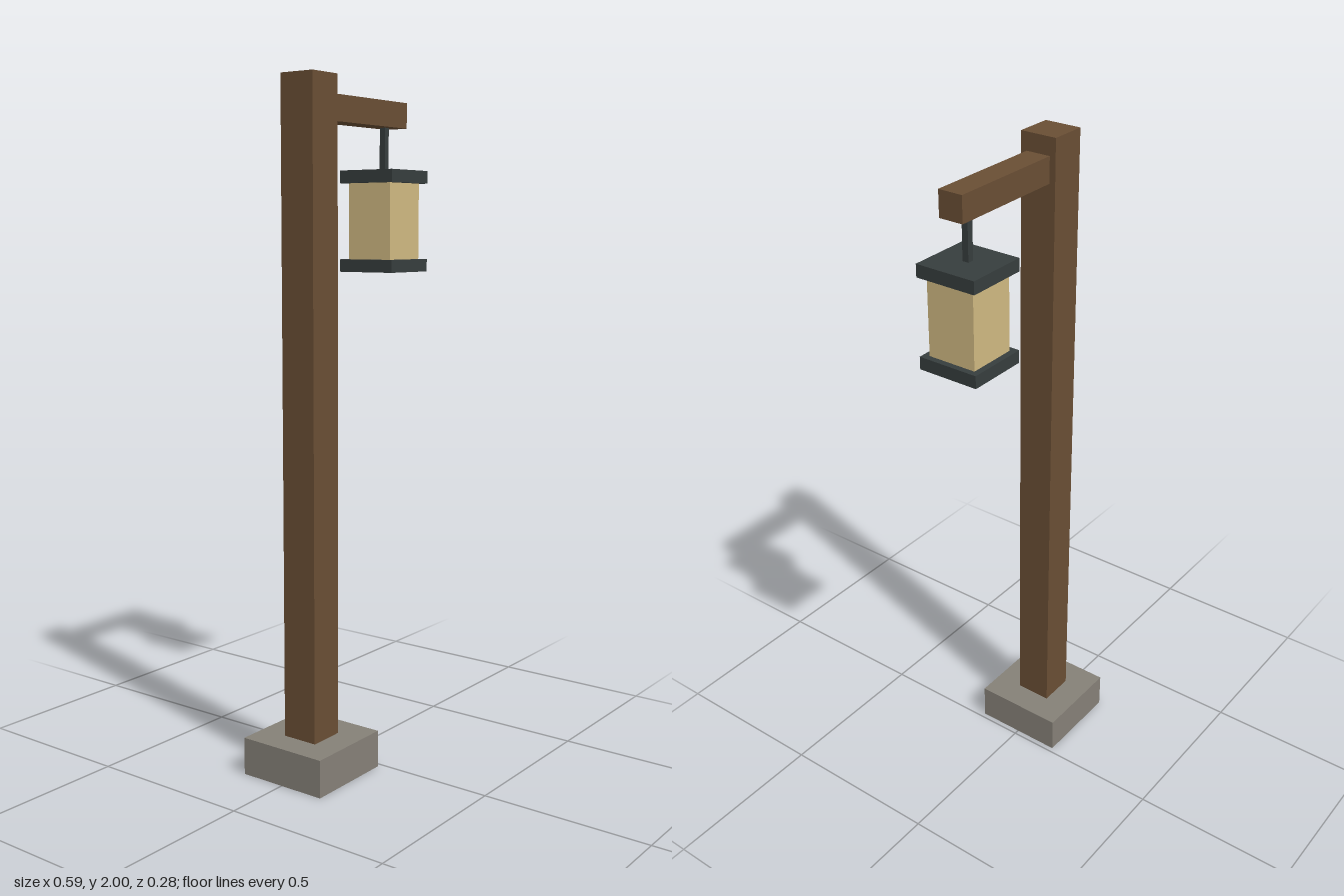
import * as THREE from 'three';

export function createModel() {
  const group = new THREE.Group();
  const material = (name, color) => {
    const m = new THREE.MeshStandardMaterial({ color });
    m.name = name;
    return m;
  };
  const wood = material('brown wood', 0x694e34);
  const stone = material('grey stone', 0x858077);
  const iron = material('dark iron', 0x363d3d);
  const glass = material('warm glass', 0xcfb881);

  // Square-section block from x0 to x1 and y0 to y1, centred on z = 0
  const block = (name, mat, x0, x1, y0, y1, depth) => {
    const mesh = new THREE.Mesh(new THREE.BoxGeometry(x1 - x0, y1 - y0, depth), mat);
    mesh.position.set((x0 + x1) / 2, (y0 + y1) / 2, 0);
    mesh.name = name;
    group.add(mesh);
  };

  // Footing, post and arm
  block('base', stone, -0.295, -0.016, 0, 0.111, 0.28);
  block('post', wood, -0.211, -0.1, 0.111, 2, 0.111);
  block('arm', wood, -0.1, 0.263, 1.875, 1.949, 0.074);

  // Hanging lantern, centred below the end of the arm
  const lantern = (name, mat, width, y0, y1) =>
    block(name, mat, 0.2 - width / 2, 0.2 + width / 2, y0, y1, width);
  lantern('hanger', iron, 0.019, 1.75, 1.875);
  lantern('lanternTop', iron, 0.186, 1.714, 1.751);
  lantern('lanternGlass', glass, 0.149, 1.491, 1.714);
  lantern('lanternBottom', iron, 0.186, 1.454, 1.491);

  return group;
}
